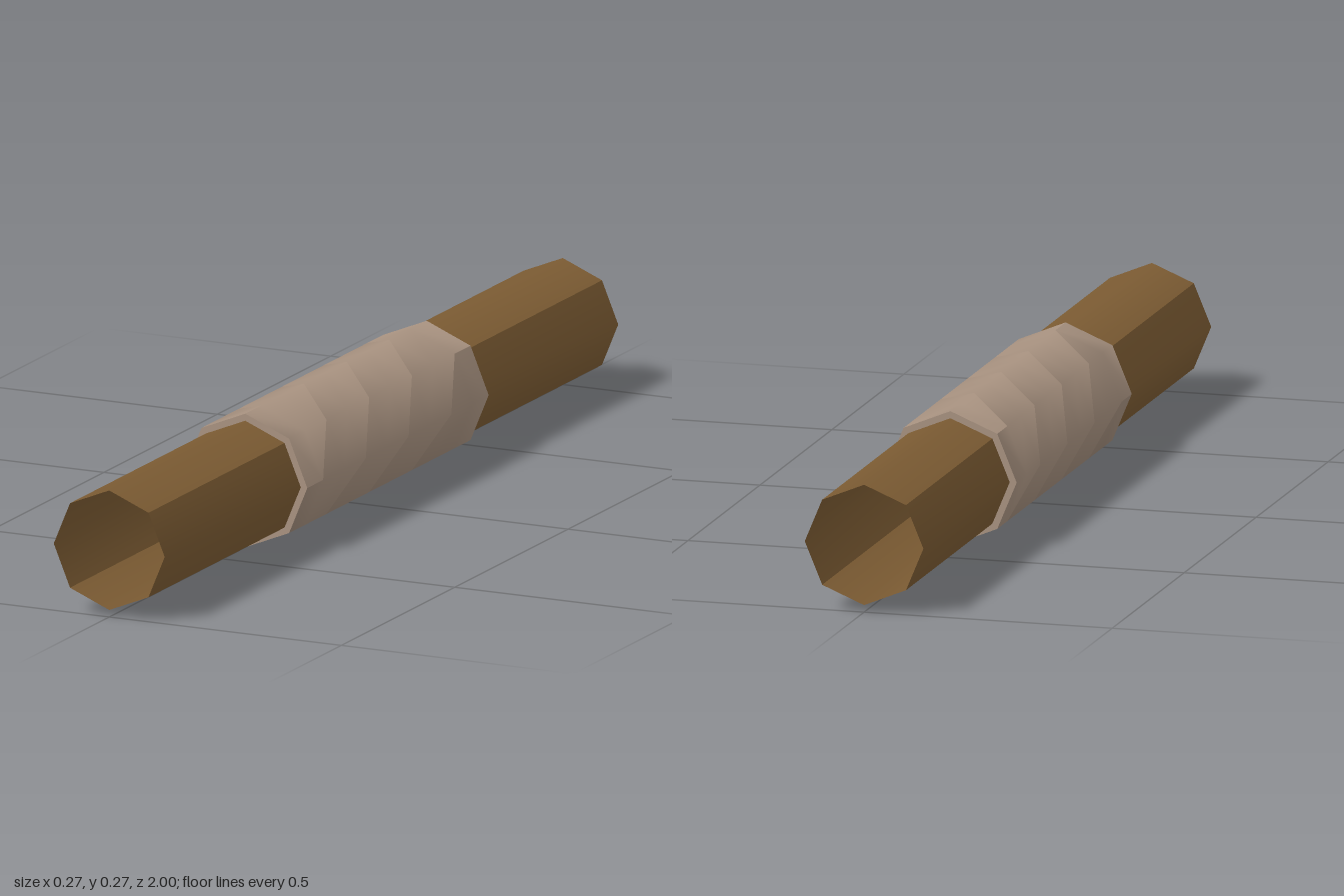
import * as THREE from 'three';

const SLEEVE_R = 0.1335, TUBE_R = 0.1195;

// One strip, two octagon faces wide, running from +z to -z.
// rows: [z, step] pairs, where step counts eighth turns about the axis.
function stripGeometry(radius, firstCorner, rows) {
  const pos = [], index = [];
  rows.forEach(([z, step], j) => {
    for (let c = 0; c < 3; c++) {
      const a = (firstCorner + c + step) * Math.PI / 4;
      pos.push(radius * Math.cos(a), radius * Math.sin(a), z);
      if (j < rows.length - 1 && c < 2) {
        const p = j * 3 + c;
        index.push(p, p + 3, p + 1, p + 1, p + 3, p + 4);
      }
    }
  });
  const g = new THREE.BufferGeometry();
  g.setAttribute('position', new THREE.Float32BufferAttribute(pos, 3));
  g.setIndex(index);
  g.computeVertexNormals();
  return g;
}

// Four strips close the octagon; edges between strips stay sharp.
function octagonTube(name, radius, firstCorner, rows, material) {
  const group = new THREE.Group();
  group.name = name;
  for (let k = 0; k < 4; k++) {
    const strip = new THREE.Mesh(stripGeometry(radius, firstCorner + 2 * k, rows), material);
    strip.name = name + 'Strip';
    group.add(strip);
  }
  return group;
}

export function createModel() {
  const model = new THREE.Group();
  model.name = 'wrappedTube';
  const wood = new THREE.MeshStandardMaterial({ color: 0x7a5a32, side: THREE.DoubleSide });
  const wrap = new THREE.MeshStandardMaterial({ color: 0xa89280, side: THREE.DoubleSide });

  // Long hollow tube, open at both ends
  model.add(octagonTube('tube', TUBE_R, 1, [[1, 0], [-1, 0]], wood));

  // Grip sleeve: spiral strips with short straight ends
  const rows = [[0.4, 0]];
  for (let i = 0; i <= 7; i++) rows.push([0.33 - 0.66 * i / 7, i]);
  rows.push([-0.4, 7]);
  const sleeve = octagonTube('gripSleeve', SLEEVE_R, 0, rows, wrap);

  // Rims closing the sleeve against the tube
  for (const s of [1, -1]) {
    const rim = new THREE.Mesh(new THREE.RingGeometry(TUBE_R, SLEEVE_R, 8), wrap);
    rim.name = 'sleeveRim';
    rim.position.z = 0.4 * s;
    if (s < 0) rim.rotation.y = Math.PI;
    sleeve.add(rim);
  }
  model.add(sleeve);

  model.children.forEach((part) => { part.position.y = SLEEVE_R; });
  return model;
}
